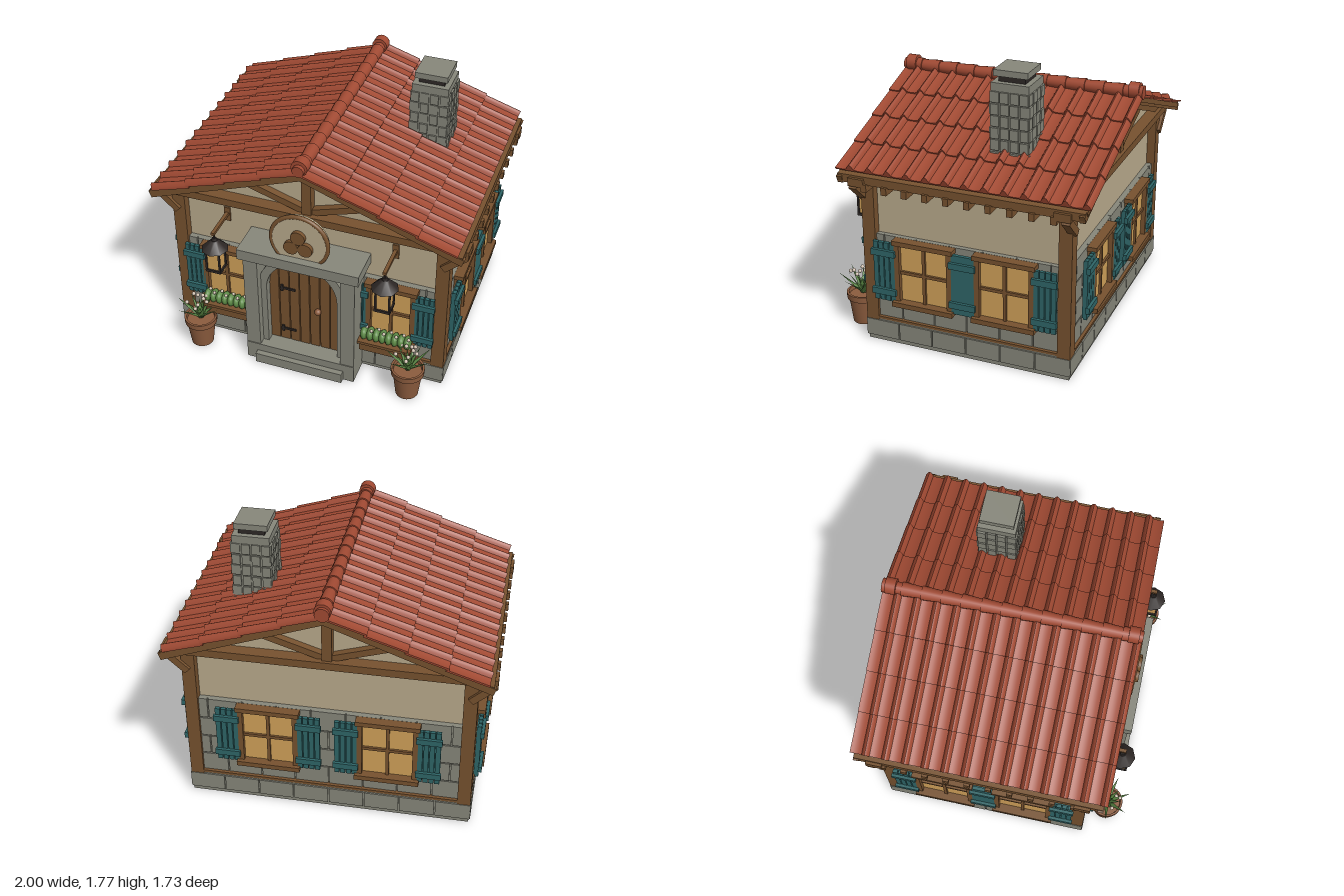
import * as THREE from 'three';
import { mergeGeometries, toCreasedNormals } from 'three/addons/utils/BufferGeometryUtils.js';

const mat = (name, color) => Object.assign(new THREE.MeshStandardMaterial({ color }), { name });
const M = {
  stone: mat('stone', 0x87877b), plaster: mat('plaster', 0xbaab8d), wood: mat('wood', 0x77522f),
  tile: mat('roof tile', 0xa14a33), teal: mat('teal paint', 0x2f6668), glass: mat('lit glass', 0xd2a25a),
  leaf: mat('leaf', 0x5c8a45), clay: mat('clay', 0x8c5c3e), iron: mat('dark iron', 0x2e2826),
  petal: mat('petal', 0xcfc0b0),
};

function mesh(parent, name, geo, material, x = 0, y = 0, z = 0) {
  const m = new THREE.Mesh(geo, material);
  m.name = name;
  m.position.set(x, y, z);
  parent.add(m);
  return m;
}
function group(parent, name, x = 0, y = 0, z = 0, yaw = 0) {
  const g = new THREE.Group();
  g.name = name;
  g.position.set(x, y, z);
  g.rotation.y = yaw;
  parent.add(g);
  return g;
}
// list of [x0, x1, y0, y1, z0, z1] boxes merged into one mesh
const boxes = (parent, name, material, list) => mesh(parent, name, mergeGeometries(list.map(([a, b, c, d, e, f]) =>
  new THREE.BoxGeometry(b - a, d - c, f - e).translate((a + b) / 2, (c + d) / 2, (e + f) / 2))), material);
// sloping timber between two points in an x-y plane
function beam(parent, name, x1, y1, x2, y2, w, d, z) {
  const m = mesh(parent, name, new THREE.BoxGeometry(Math.hypot(x2 - x1, y2 - y1), w, d), M.wood, (x1 + x2) / 2, (y1 + y2) / 2, z);
  m.rotation.z = Math.atan2(y2 - y1, x2 - x1);
}
const extrude = (pts, depth) => new THREE.ExtrudeGeometry(new THREE.Shape(pts.map(p => new THREE.Vector2(...p))), { depth, bevelEnabled: false });
const disc = (r, d) => new THREE.CylinderGeometry(r, r, d, 32).rotateX(Math.PI / 2);

// courses of raised stone blocks on a wall facing +z
function courses(parent, name, half, ys, n, z) {
  const list = [];
  const step = 2 * half / n;
  for (let r = 0; r < ys.length - 1; r++) for (let i = 0; i <= n; i++) {
    const a = Math.max(-half, -half + (i - (r % 2) / 2) * step);
    const b = Math.min(half, -half + (i + 1 - (r % 2) / 2) * step);
    if (b - a > 0.02) list.push([a + 0.004, b - 0.004, ys[r] + 0.004, ys[r + 1] - 0.004, z - 0.02, z]);
  }
  boxes(parent, name, M.stone, list);
}

function shutter(parent, x, w) {
  const g = group(parent, 'shutter', x, 0.505, 0), list = [];
  for (let i = 0; i < 4; i++) list.push([-w / 2 + i * w / 4 + 0.003, -w / 2 + (i + 1) * w / 4 - 0.003, -0.195, 0.195, 0.028, 0.05]);
  for (const y of [-0.13, 0.13]) list.push([-w / 2 - 0.006, w / 2 + 0.006, y - 0.02, y + 0.02, 0.045, 0.068]);
  list.push([-w / 2 + 0.006, w / 2 - 0.006, -0.185, 0.185, 0.02, 0.03]);
  boxes(g, 'shutter boards', M.teal, list);
}
function windowUnit(parent, x, w, shutterX, shutterW) {
  const g = group(parent, 'window', x), h = w / 2, o = h + 0.032;
  boxes(g, 'window pane', M.glass, [[-h, h, 0.32, 0.7, 0.012, 0.02]]);
  boxes(g, 'window frame', M.wood, [
    [-o, -h, 0.3, 0.72, 0, 0.05], [h, o, 0.3, 0.72, 0, 0.05],
    [-o - 0.01, o + 0.01, 0.695, 0.725, 0, 0.06], [-o - 0.012, o + 0.012, 0.29, 0.322, 0, 0.075],
    [-0.01, 0.01, 0.32, 0.7, 0.01, 0.034], [-h, h, 0.5, 0.52, 0.01, 0.034]]);
  for (const s of [-1, 1]) shutter(g, s * shutterX, shutterW);
}

function flowerBox(parent, x) {
  const g = group(parent, 'flowerBox', x, 0, 0);
  boxes(g, 'planter', M.wood, [[-0.16, 0.16, 0.225, 0.285, 0, 0.115], [-0.17, 0.17, 0.28, 0.3, 0, 0.125], [-0.12, -0.09, 0.19, 0.23, 0, 0.08], [0.09, 0.12, 0.19, 0.23, 0, 0.08]]);
  for (let i = 0; i < 8; i++) {
    const px = -0.14 + i * 0.04;
    mesh(g, 'shrub', new THREE.SphereGeometry(0.026, 10, 8).scale(1, 1.7, 1.8), M.leaf, px, 0.335, 0.068);
    mesh(g, 'blossom', new THREE.SphereGeometry(0.011, 8, 6), M.petal, px + 0.012, 0.378, 0.06 + 0.03 * (i % 2));
  }
}

function pottedPlant(parent, x, z) {
  const g = group(parent, 'pottedPlant', x, 0, z);
  const profile = [[0, 0], [0.072, 0], [0.092, 0.165], [0.104, 0.168], [0.106, 0.208], [0.092, 0.208], [0.088, 0.185], [0, 0.185]];
  mesh(g, 'pot', toCreasedNormals(new THREE.LatheGeometry(profile.map(p => new THREE.Vector2(...p)), 24), 0.6), M.clay);
  for (let i = 0; i < 18; i++) {
    const len = 0.13 + 0.035 * (i % 3);
    const leaf = mesh(g, 'leafBlade', new THREE.ConeGeometry(0.022, len, 6).scale(1, 1, 0.35).translate(0, len / 2, 0), M.leaf, 0, 0.2, 0);
    leaf.rotation.set(0.25 + 0.3 * (i % 3), i * 2.4, 0, 'YXZ');
    if (i % 2) continue;
    const a = i * 1.9, r = 0.03 + 0.025 * (i % 3);
    mesh(g, 'blossom', new THREE.SphereGeometry(0.013, 8, 6), M.petal, r * Math.cos(a), 0.375 - r * 0.5, r * Math.sin(a));
  }
}

function lantern(parent, x) {
  const g = group(parent, 'lantern', x, 0, 0.82);
  boxes(g, 'lanternArm', M.wood, [[-0.011, 0.011, 0.945, 0.965, -0.22, 0.02], [-0.02, 0.02, 0.9, 1.0, -0.22, -0.2]]);
  boxes(g, 'lanternGlass', M.glass, [[-0.04, 0.04, 0.69, 0.83, -0.04, 0.04]]);
  const cage = [[-0.05, 0.05, 0.675, 0.692, -0.05, 0.05], [-0.05, 0.05, 0.822, 0.838, -0.05, 0.05], [-0.005, 0.005, 0.89, 0.95, -0.005, 0.005]];
  for (const a of [-1, 1]) for (const b of [-1, 1]) cage.push([a * 0.043 - 0.006, a * 0.043 + 0.006, 0.68, 0.83, b * 0.043 - 0.006, b * 0.043 + 0.006]);
  boxes(g, 'lanternCage', M.iron, cage);
  mesh(g, 'lanternCap', new THREE.CylinderGeometry(0.022, 0.085, 0.065, 8), M.iron, 0, 0.867, 0);
  mesh(g, 'lanternFinial', new THREE.CylinderGeometry(0.014, 0.02, 0.02, 8), M.iron, 0, 0.905, 0);
}

function doorway(parent) {
  const g = group(parent, 'doorway');
  const R = 0.235, spring = 0.575, planks = [], n = 7;
  const top = x => spring + Math.sqrt(Math.max(0, R * R - x * x));
  for (let i = 0; i < n; i++) {
    const a = -R + i * 2 * R / n + 0.003, b = -R + (i + 1) * 2 * R / n - 0.003, pts = [[a, 0.13], [b, 0.13]];
    for (let k = 0; k <= 6; k++) { const x = b + (a - b) * k / 6; pts.push([x, top(x)]); }
    planks.push(extrude(pts, 0.03).translate(0, 0, 0.7));
  }
  mesh(g, 'doorPlanks', mergeGeometries(planks), M.wood);
  const arch = [];
  for (const [r, flip] of [[R + 0.05, 1], [R - 0.004, -1]]) {
    arch.push([flip * r, 0.12].slice());
    for (let k = 0; k <= 24; k++) { const t = flip > 0 ? Math.PI * k / 24 : Math.PI * (1 - k / 24); arch.push([r * Math.cos(t), spring + r * Math.sin(t)]); }
    arch.push([-flip * r, 0.12]);
  }
  mesh(g, 'doorArch', toCreasedNormals(extrude(arch, 0.15), 0.5), M.stone, 0, 0, 0.63);
  const backing = [[-R, 0.13], [R, 0.13]];
  for (let k = 0; k <= 16; k++) backing.push([R * Math.cos(Math.PI * k / 16), spring + R * Math.sin(Math.PI * k / 16)]);
  mesh(g, 'doorBacking', extrude(backing, 0.04), M.iron, 0, 0, 0.655);
  boxes(g, 'doorHinges', M.iron, [[-0.16, -0.06, 0.552, 0.567, 0.73, 0.738], [-0.16, -0.06, 0.212, 0.227, 0.73, 0.738], [-0.155, -0.14, 0.535, 0.584, 0.73, 0.739], [-0.155, -0.14, 0.195, 0.244, 0.73, 0.739]]);
  mesh(g, 'doorKnob', new THREE.SphereGeometry(0.022, 14, 10), M.clay, 0.092, 0.435, 0.745);
  boxes(g, 'doorSurround', M.stone, [[-0.36, -0.268, 0.1, 0.83, 0.6, 0.83], [0.268, 0.36, 0.1, 0.83, 0.6, 0.83], [-0.39, 0.39, 0.815, 0.888, 0.6, 0.85]]);
  boxes(g, 'doorSteps', M.stone, [[-0.29, 0.29, 0, 0.07, 0.6, 0.87], [-0.36, 0.36, 0, 0.125, 0.6, 0.835]]);
  // round plaque with three discs
  mesh(g, 'plaque', disc(0.182, 0.04), M.plaster, 0, 1.01, 0.78);
  mesh(g, 'plaqueRim', new THREE.TorusGeometry(0.18, 0.014, 10, 48), M.wood, 0, 1.01, 0.79);
  for (const [x, y] of [[0, 1.055], [-0.045, 0.975], [0.045, 0.975]]) mesh(g, 'plaqueDisc', disc(0.046, 0.03), M.wood, x, y, 0.81);
  boxes(g, 'plaqueMount', M.wood, [[-0.03, 0.03, 0.95, 1.07, 0.6, 0.765]]);
}

// gable timbering facing +z
function gable(parent, yaw) {
  const g = group(parent, 'gableTimbers', 0, 0, 0, yaw);
  boxes(g, 'tieBeam', M.wood, [[-1, 1, 1.072, 1.122, 0.59, 0.69], [-0.03, 0.03, 1.1, 1.45, 0.6, 0.67]]);
  for (const s of [-1, 1]) {
    beam(g, 'strut', s * 0.02, 1.13, s * 0.47, 1.275, 0.042, 0.05, 0.63);
    beam(g, 'gableRafter', 0, 1.43, s * 0.93, 1.086, 0.05, 0.07, 0.63);
    beam(g, 'bargeBoard', 0, 1.462, s * 0.985, 1.098, 0.048, 0.035, 0.75);
    beam(g, 'kneeBrace', s * 0.85, 0.95, s * 0.985, 1.075, 0.045, 0.05, 0.66);
  }
}

// one roof slope falling towards +x: deck, tiled courses, fascia and rafter tails
function roofSlope(parent, yaw) {
  const g = group(parent, 'roofSlope', 0, 0, 0, yaw);
  const ang = Math.atan(0.37), half = 0.79, cols = 13, p = 2 * half / cols, pts = [[half, 0], [-half, 0]];
  for (let c = 0; c < cols; c++) {
    for (let k = 0; k < 4; k++) pts.push([-half + (c + 0.6 * k / 4) * p, 0.012 - 0.005 * Math.sin(Math.PI * k / 4)]);
    for (let k = 0; k < 8; k++) pts.push([-half + (c + 0.6 + 0.4 * k / 8) * p, 0.012 + 0.03 * Math.sin(Math.PI * k / 8)]);
  }
  pts.push([half, 0.012]);
  pts.reverse();
  const rows = [], tilt = ang - 0.05;
  for (let i = 0; i < 4; i++) {
    const s = i * 0.25;
    const m = new THREE.Matrix4().makeBasis(new THREE.Vector3(0, 0, -1),
      new THREE.Vector3(Math.sin(tilt), Math.cos(tilt), 0), new THREE.Vector3(Math.cos(tilt), -Math.sin(tilt), 0));
    m.setPosition(s * Math.cos(ang), 1.487 - s * Math.sin(ang), 0);
    rows.push(toCreasedNormals(extrude(pts, 0.265), 0.6).applyMatrix4(m));
  }
  mesh(g, 'roofTiles', mergeGeometries(rows), M.tile);
  const deck = mesh(g, 'roofDeck', new THREE.BoxGeometry(1.02, 0.03, 1.54).translate(0.51, -0.015, 0), M.wood, 0, 1.487, 0);
  deck.rotation.z = -ang;
  const tails = [[0.955, 0.982, 1.085, 1.135, -0.765, 0.765], [0.82, 0.9, 1.075, 1.125, -0.66, 0.66]];
  for (let i = 0; i < 10; i++) { const z = -0.588 + i * 0.1307; tails.push([0.84, 0.998, 1.045, 1.092, z - 0.018, z + 0.018]); }
  boxes(g, 'eavesTimbers', M.wood, tails);
}

function ridge(parent) {
  const g = group(parent, 'ridge');
  for (let i = 0; i < 13; i++) mesh(g, 'ridgeTile', new THREE.CylinderGeometry(0.036, 0.044, 0.125, 16).rotateX(Math.PI / 2), M.tile, 0, 1.517, -0.73 + i * 0.1217);
  for (const s of [-1, 1]) mesh(g, 'ridgeEnd', disc(0.05, 0.065), M.tile, 0, 1.527, s * 0.738);
}

function chimney(parent) {
  const g = group(parent, 'chimney', 0.525, 0, -0.185), list = [[-0.11, 0.11, 1.2, 1.65, -0.115, 0.115]];
  for (let r = 0; r < 6; r++) for (let i = 0; i < 4; i++) {
    const y = 1.21 + r * 0.073, a = -0.122 + i * 0.061 + 0.005, b = a + 0.051, d = 0.122 + 0.004 * ((r + i) % 2);
    list.push([a, b, y, y + 0.065, d - 0.02, d], [a, b, y, y + 0.065, -d, -d + 0.02]);
    list.push([d - 0.02, d, y, y + 0.065, a, b], [-d, -d + 0.02, y, y + 0.065, a, b]);
  }
  list.push([-0.115, 0.115, 1.645, 1.692, -0.117, 0.117], [-0.103, 0.103, 1.728, 1.766, -0.105, 0.105]);
  boxes(g, 'chimneyStones', M.stone, list);
  boxes(g, 'chimneyNeck', M.iron, [[-0.08, 0.08, 1.69, 1.73, -0.083, 0.083]]);
}

export function createModel() {
  const root = new THREE.Group();
  root.name = 'cottage';
  const house = group(root, 'house', 0, 0, -0.06);
  // masonry and plaster body
  boxes(house, 'foundation', M.stone, [[-0.885, 0.885, 0, 0.155, -0.66, 0.66]]);
  boxes(house, 'lowerWall', M.stone, [[-0.86, 0.86, 0.15, 0.725, -0.635, 0.635]]);
  mesh(house, 'plasterWall', extrude([[-0.84, 0.7], [0.84, 0.7], [0.84, 1.13], [0, 1.44], [-0.84, 1.13]], 1.22), M.plaster, 0, 0, -0.61);
  // timber posts and sills
  const posts = [];
  for (const x of [-0.85, 0.85]) for (const z of [-0.625, 0.625]) posts.push([x - 0.041, x + 0.041, 0.115, 1.09, z - 0.041, z + 0.041]);
  for (const s of [-1, 1]) posts.push([-0.87, 0.87, 0.152, 0.168, s * 0.65 - 0.016, s * 0.65 + 0.016], [s * 0.875 - 0.016, s * 0.875 + 0.016, 0.152, 0.168, -0.65, 0.65]);
  boxes(house, 'postsAndSills', M.wood, posts);
  // four walls: front, left, back, right
  for (let i = 0; i < 4; i++) {
    const side = i % 2, wall = group(house, 'wall', 0, 0, 0, i * Math.PI / 2), face = side ? 0.872 : 0.647;
    const half = side ? 0.64 : 0.86, n = side ? 6 : 8;
    courses(wall, 'wallStones', half, [0.165, 0.3, 0.44, 0.58, 0.73], n, face);
    courses(wall, 'foundationStones', side ? 0.67 : 0.895, [0.025, 0.145], n, face + 0.023);
    const front = i === 0, units = group(wall, 'windows', 0, 0, face);
    for (const s of [-1, 1]) {
      windowUnit(units, s * (front ? 0.545 : side ? 0.26 : 0.37), front ? 0.25 : 0.31, front ? 0.21 : 0.255, front ? 0.13 : 0.145);
      if (front) flowerBox(units, s * 0.53);
    }
  }
  doorway(house);
  // roof
  for (const yaw of [0, Math.PI]) { gable(house, yaw); roofSlope(house, yaw); }
  ridge(house);
  chimney(house);
  for (const s of [-1, 1]) { lantern(house, s * 0.545); pottedPlant(house, s * 0.7, 0.795); }
  return root;
}
